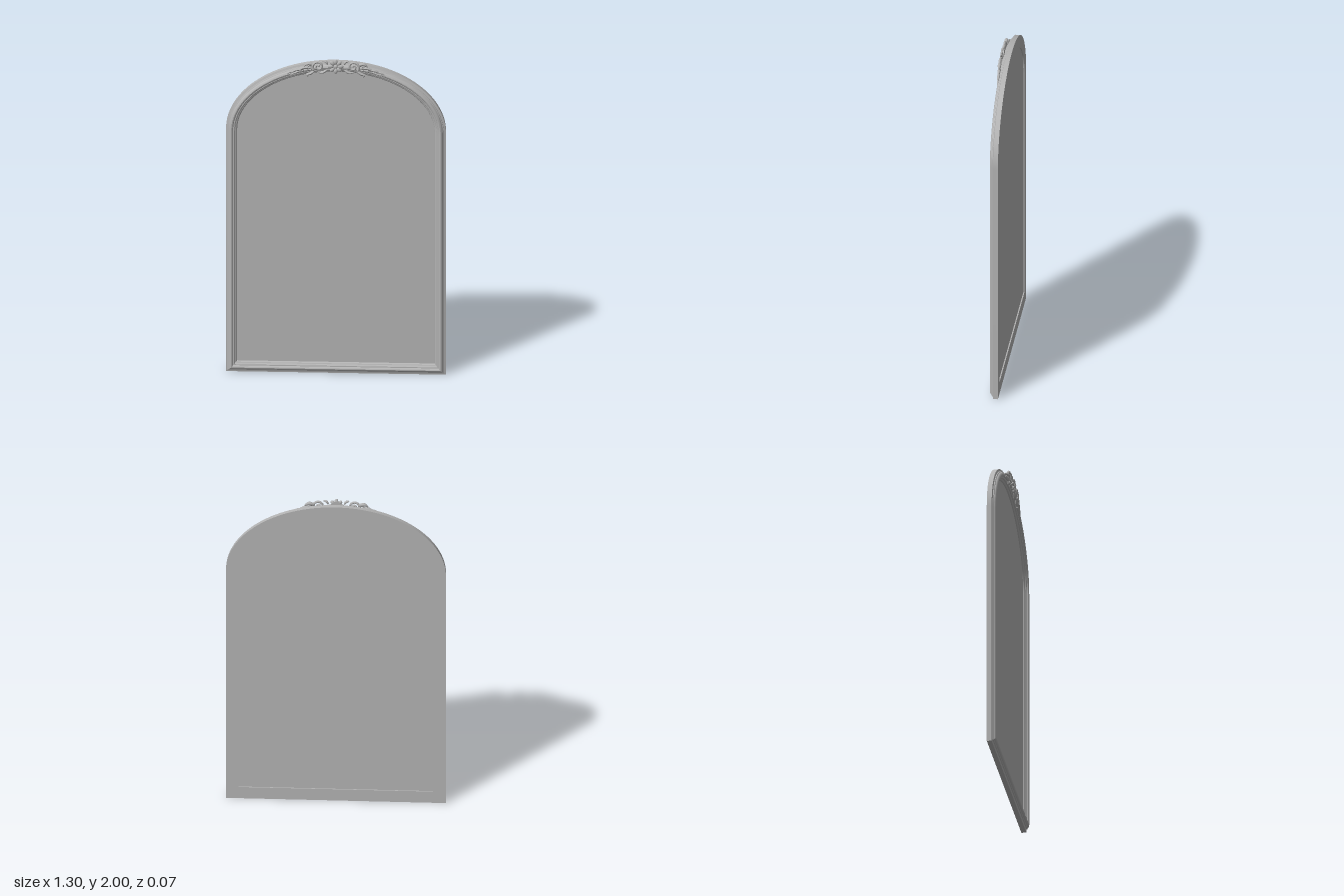
import * as THREE from 'three';
import { toCreasedNormals } from 'three/addons/utils/BufferGeometryUtils.js';

const A = 0.65, B = 0.445, SPRING = 1.53;
const V = (x, y, z = 0) => new THREE.Vector3(x, y, z);

// Arched outline, moved inwards by d along its normals (mitred at the bottom corners)
function outline(d) {
  const pts = [[-A + d, d], [A - d, d]];
  const n = 64;
  for (let i = 0; i <= n; i++) {
    const t = Math.PI * i / n, c = Math.cos(t), s = Math.sin(t);
    const nx = c / A, ny = s / B, l = Math.hypot(nx, ny);
    pts.push([A * c - d * nx / l, SPRING + B * s - d * ny / l]);
  }
  return pts;
}

// Moulding: [inward offset, z] profile carried round the outline
function mouldingGeometry(profile) {
  const rings = profile.map(([d, z]) => outline(d).map(([x, y]) => [x, y, z]));
  const m = profile.length, n = rings[0].length, pos = [], idx = [];
  for (let j = 0; j < m; j++) for (const p of rings[j]) pos.push(...p);
  for (let j = 0; j < m; j++) {
    for (let i = 0; i < n; i++) {
      const k = (j + 1) % m, e = (i + 1) % n;
      const a = j * n + i, b = j * n + e, c = k * n + e, d = k * n + i;
      idx.push(a, b, c, a, c, d);
    }
  }
  const g = new THREE.BufferGeometry();
  g.setAttribute('position', new THREE.Float32BufferAttribute(pos, 3));
  g.setIndex(idx);
  return toCreasedNormals(g, 0.45);
}

// Tube whose thickness follows radius(t)
function taperedTube(points, radius, segs = 32) {
  const curve = new THREE.CatmullRomCurve3(points), sides = 8;
  const g = new THREE.TubeGeometry(curve, segs, 1, sides, false);
  const p = g.attributes.position, v = V(0, 0), c = V(0, 0);
  for (let i = 0; i < p.count; i++) {
    const t = Math.floor(i / (sides + 1)) / segs;
    curve.getPointAt(t, c);
    v.fromBufferAttribute(p, i).sub(c).multiplyScalar(radius(t)).add(c);
    p.setXYZ(i, v.x, v.y, v.z);
  }
  g.computeVertexNormals();
  return g;
}

export function createModel() {
  const model = new THREE.Group();
  model.name = 'archedMirror';
  const grey = new THREE.MeshStandardMaterial({ color: 0xb4b4b4 });
  grey.name = 'grey';
  const add = (parent, name, geo) => {
    const mesh = new THREE.Mesh(geo, grey);
    mesh.name = name;
    parent.add(mesh);
    return mesh;
  };

  // Stepped frame
  add(model, 'frame', mouldingGeometry([
    [0, -0.036], [0, -0.007], [0.007, -0.005], [0.012, -0.003], [0.013, 0.002],
    [0.018, 0.004], [0.021, 0.010], [0.026, 0.014], [0.032, 0.016], [0.038, 0.014],
    [0.042, 0.010], [0.043, 0.005], [0.049, 0.005], [0.053, 0.002], [0.055, -0.004],
    [0.061, -0.006], [0.065, -0.010], [0.067, -0.016], [0.067, -0.029],
    [0.075, -0.029], [0.075, -0.036],
  ]));

  // Glass panel set into the frame
  const shape = new THREE.Shape(outline(0.065).map(([x, y]) => new THREE.Vector2(x, y)));
  const panel = new THREE.ExtrudeGeometry(shape, { depth: 0.014, bevelEnabled: false });
  add(model, 'mirrorPanel', panel).position.z = -0.029;

  // Crest at the top of the arch
  const crest = new THREE.Group();
  crest.name = 'crest';
  model.add(crest);
  const blob = (name, x, y, z, sx, sy, sz, turn = 0) => {
    const mesh = add(crest, name, new THREE.SphereGeometry(1, 16, 10));
    mesh.position.set(x, y, z);
    mesh.scale.set(sx, sy, sz);
    mesh.rotation.z = turn;
  };

  // Flower
  const FY = 1.954;
  const disc = add(crest, 'flowerBack', new THREE.CylinderGeometry(0.032, 0.034, 0.012, 24));
  disc.rotation.x = Math.PI / 2;
  disc.position.set(0, FY, 0.016);
  for (let i = 0; i < 8; i++) {
    const a = Math.PI * (i / 4 + 0.5);
    blob('petal', 0.029 * Math.cos(a), FY + 0.029 * Math.sin(a), 0.022, 0.017, 0.0115, 0.009, a);
  }
  blob('flowerCentre', 0, FY, 0.025, 0.012, 0.012, 0.009);

  // Scrolls and leaves, mirrored on both sides
  const leaf = r => t => 0.0006 + r * Math.pow(Math.sin(Math.PI * Math.min(1, 0.12 + 0.88 * t)), 0.8);
  const leaves = [
    // [thickness, z, start, middle, end]
    [0.008, 0.018, [0.050, 1.932], [0.075, 1.915], [0.110, 1.915]],
    [0.007, 0.020, [0.048, 1.965], [0.058, 1.982], [0.078, 1.988]],
    [0.010, 0.018, [0.130, 1.962], [0.165, 1.968], [0.190, 1.950]],
    [0.009, 0.017, [0.150, 1.940], [0.190, 1.942], [0.222, 1.922]],
    [0.008, 0.016, [0.125, 1.925], [0.150, 1.905], [0.180, 1.900]],
    [0.006, 0.016, [0.150, 1.912], [0.168, 1.894], [0.160, 1.886]],
    [0.008, 0.015, [0.190, 1.932], [0.230, 1.927], [0.262, 1.912]],
    [0.006, 0.014, [0.215, 1.918], [0.245, 1.906], [0.270, 1.893]],
    [0.005, 0.014, [0.240, 1.916], [0.270, 1.912], [0.292, 1.898]],
  ];
  for (const s of [1, -1]) {
    const spiral = (name, cx, cy, z, r0, r1, from, turn, thick) => {
      const pts = [];
      for (let i = 0; i <= 20; i++) {
        const t = i / 20, a = from + turn * t, r = r0 + (r1 - r0) * t;
        pts.push(V(s * (cx + r * Math.cos(a)), cy + r * Math.sin(a), z));
      }
      add(crest, name, taperedTube(pts, t => thick * (1 - 0.45 * t), 48));
      const e = pts[20], b = pts[0];
      blob('scrollEye', e.x, e.y, z + 0.001, thick * 0.95, thick * 0.95, thick * 0.9);
      blob('scrollTip', b.x, b.y, z, thick, thick, thick);
    };
    spiral('largeScroll', 0.104, 1.952, 0.021, 0.034, 0.006, -0.6, 9, 0.0085);
    spiral('smallScroll', 0.152, 1.940, 0.019, 0.020, 0.004, 2.6, -7.5, 0.006);
    spiral('endCurl', 0.205, 1.930, 0.016, 0.014, 0.003, -2.6, -6.5, 0.0045);
    for (const [r, z, ...pts] of leaves) {
      add(crest, 'leaf', taperedTube(pts.map(([x, y]) => V(s * x, y, z)), leaf(r), 16));
    }
  }
  return model;
}
